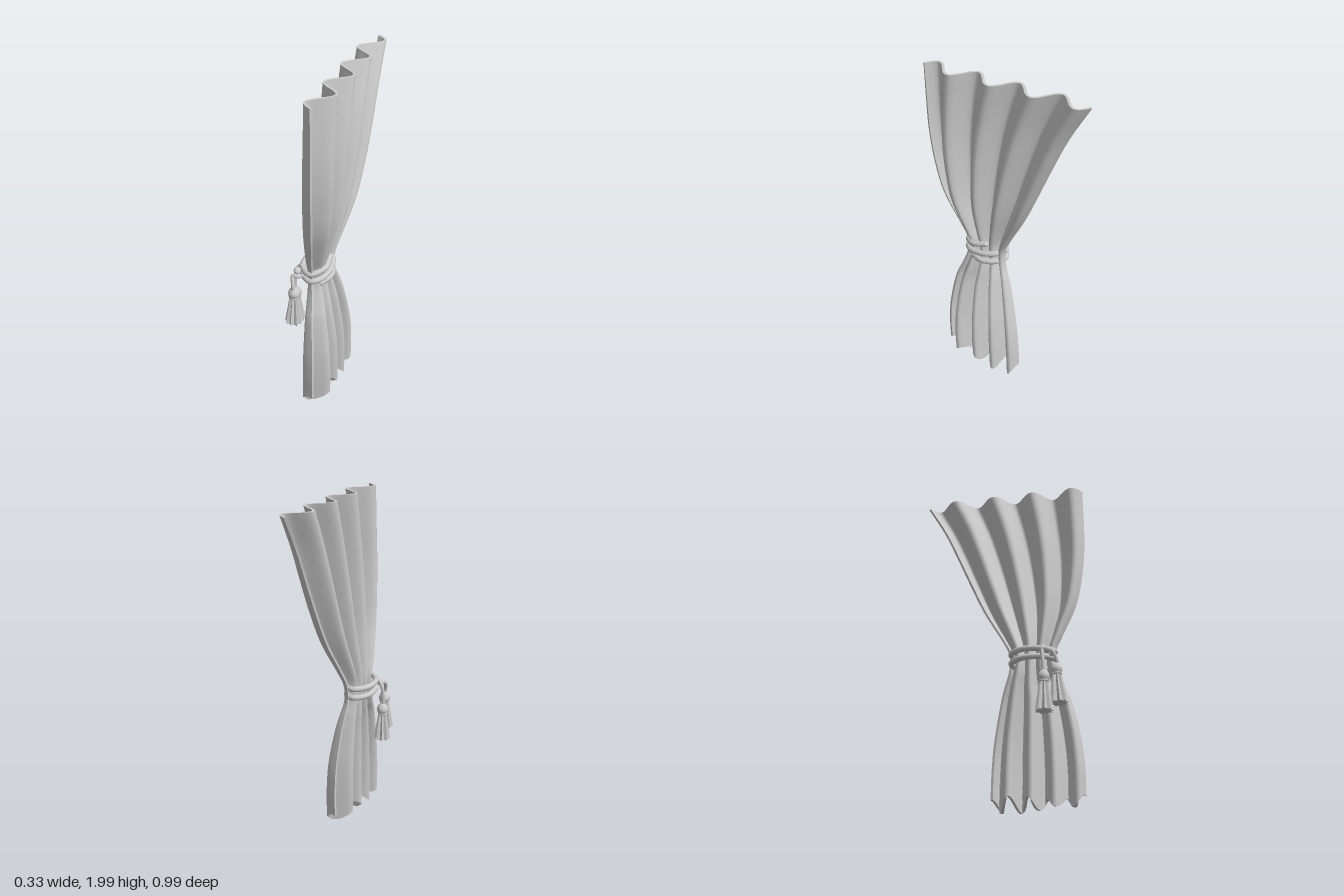
import * as THREE from 'three';
import { mergeGeometries } from 'three/addons/utils/BufferGeometryUtils.js';
import { ParametricGeometry } from 'three/addons/geometries/ParametricGeometry.js';

const V = (x, y, z) => new THREE.Vector3(x, y, z);
const FOLDS = 4, SCALLOPS = 5, HALF = 0.007;

// Cloth outline from hem to top: height, front edge z, back edge z, middle x, fold depth
const rows = [
  [0.0, 0.435, -0.065, 0.043, 0.068],
  [0.2, 0.435, -0.06, 0.045, 0.068],
  [0.4, 0.42, -0.045, 0.042, 0.062],
  [0.6, 0.38, -0.01, 0.028, 0.048],
  [0.7, 0.34, 0.015, 0.016, 0.038],
  [0.8, 0.305, 0.045, 0.004, 0.028],
  [0.9, 0.305, 0.045, 0.006, 0.03],
  [1.0, 0.345, 0.0, 0.02, 0.04],
  [1.2, 0.425, -0.11, 0.053, 0.055],
  [1.4, 0.465, -0.2, 0.07, 0.06],
  [1.6, 0.485, -0.285, 0.08, 0.06],
  [1.8, 0.488, -0.375, 0.085, 0.057],
  [2.0, 0.488, -0.488, 0.088, 0.055],
];
const edges = new THREE.CatmullRomCurve3(rows.map(r => V(r[0], r[1], r[2])), false, 'catmullrom', 0.5);
const depth = new THREE.CatmullRomCurve3(rows.map(r => V(r[3], r[4], 0)), false, 'catmullrom', 0.5);

// Point on the pleated cloth; u runs front to back, v from hem to top, h is the offset across the cloth
function clothPoint(u, v, h, target) {
  const e = edges.getPoint(v), d = depth.getPoint(v);
  const angle = u * FOLDS * Math.PI * 2;
  const dz = e.z - e.y;
  const dx = -d.y * FOLDS * Math.PI * 2 * Math.cos(angle) + 0.02 * v;
  const len = Math.hypot(dx, dz);
  const hem = (0.042 + 0.033 * Math.cos(u * SCALLOPS * Math.PI * 2)) * Math.max(0, 1 - e.x / 0.4);
  target.set(
    d.x + 0.02 * v * (u - 0.5) - d.y * Math.sin(angle) - h * dz / len,
    e.x + hem,
    e.y + dz * u + h * dx / len
  );
}

function curtainGeometry() {
  const across = 64, up = 48;
  const sheet = (f, a, b) => new ParametricGeometry((s, t, p) => clothPoint(...f(s, t), p), a, b);
  const side = s => HALF * (2 * s - 1);
  return mergeGeometries([
    sheet((s, t) => [s, t, HALF], across, up),
    sheet((s, t) => [1 - s, t, -HALF], across, up),
    sheet((s, t) => [s, 1, -side(t)], across, 1),
    sheet((s, t) => [1 - s, 0, -side(t)], across, 1),
    sheet((s, t) => [0, t, side(s)], 1, up),
    sheet((s, t) => [1, t, -side(s)], 1, up),
  ]);
}

// Rope wound twice round the waist: angle in degrees, height
const wraps = [
  [-14, 0.925], [30, 0.908], [90, 0.887], [150, 0.885], [210, 0.887], [270, 0.885],
  [315, 0.877], [360, 0.863], [405, 0.85], [450, 0.84], [510, 0.838], [570, 0.834],
  [630, 0.83], [680, 0.82], [720, 0.812], [765, 0.803],
];
function ropeCurve() {
  return new THREE.CatmullRomCurve3(wraps.map(([deg, y], i) => {
    const a = deg * Math.PI / 180;
    const k = i === 0 || i === wraps.length - 1 ? 0.8 : 1;
    return V(-0.015 + 0.077 * k * Math.cos(a), y, 0.18 + 0.125 * k * Math.sin(a));
  }));
}

// Pleated skirt with a star-shaped section
function skirtGeometry() {
  const geo = new THREE.CylinderGeometry(0.026, 0.052, 0.17, 18, 1);
  const p = geo.attributes.position;
  for (let i = 0; i < p.count; i++) {
    const step = Math.round(Math.atan2(p.getX(i), p.getZ(i)) / (Math.PI / 9));
    const k = step % 2 ? 0.72 : 1;
    p.setX(i, p.getX(i) * k);
    p.setZ(i, p.getZ(i) * k);
  }
  const flat = geo.toNonIndexed();
  flat.computeVertexNormals();
  return flat;
}

export function createModel() {
  const model = new THREE.Group();
  model.name = 'tiedCurtain';
  const grey = new THREE.MeshStandardMaterial({ color: 0xcccccc });
  grey.name = 'light grey';
  const add = (parent, name, geo, x = 0, y = 0, z = 0) => {
    const mesh = new THREE.Mesh(geo, grey);
    mesh.name = name;
    mesh.position.set(x, y, z);
    parent.add(mesh);
    return mesh;
  };

  add(model, 'curtain', curtainGeometry());

  // Tie-back rope with rounded ends
  const rope = ropeCurve();
  add(model, 'tieRope', new THREE.TubeGeometry(rope, 120, 0.017, 10));
  for (const t of [0, 1]) {
    const e = rope.getPoint(t);
    add(model, 'ropeEnd', new THREE.SphereGeometry(0.017, 10, 8), e.x, e.y, e.z);
  }

  // Cord looped over the rope, carrying both tassels
  const cord = new THREE.CatmullRomCurve3([
    V(-0.125, 0.69, 0.25), V(-0.128, 0.76, 0.25), V(-0.118, 0.85, 0.245), V(-0.085, 0.895, 0.25),
    V(-0.06, 0.865, 0.27), V(-0.085, 0.845, 0.295), V(-0.118, 0.85, 0.3),
    V(-0.11, 0.79, 0.325), V(-0.108, 0.72, 0.33),
  ]);
  add(model, 'tasselCord', new THREE.TubeGeometry(cord, 60, 0.011, 8));
  add(model, 'cordKnot', new THREE.SphereGeometry(0.022, 12, 8), -0.105, 0.865, 0.265).scale.set(1, 0.9, 1.3);

  // Tassels: domed head, collar and pleated skirt
  const head = new THREE.LatheGeometry([
    [0.022, -0.03], [0.033, -0.012], [0.034, 0.004], [0.028, 0.022], [0.015, 0.036], [0, 0.042],
  ].map(([r, y]) => new THREE.Vector2(r, y)), 14);
  const skirt = skirtGeometry();
  for (const [x, y, z, tilt] of [[-0.125, 0.5, 0.25, 0], [-0.108, 0.545, 0.33, -0.06]]) {
    const tassel = new THREE.Group();
    tassel.name = 'tassel';
    tassel.position.set(x, y, z);
    tassel.rotation.x = tilt;
    add(tassel, 'tasselSkirt', skirt, 0, 0.085, 0);
    add(tassel, 'tasselCollar', new THREE.TorusGeometry(0.023, 0.007, 6, 16).rotateX(Math.PI / 2), 0, 0.168, 0);
    add(tassel, 'tasselHead', head, 0, 0.195, 0);
    model.add(tassel);
  }
  return model;
}
